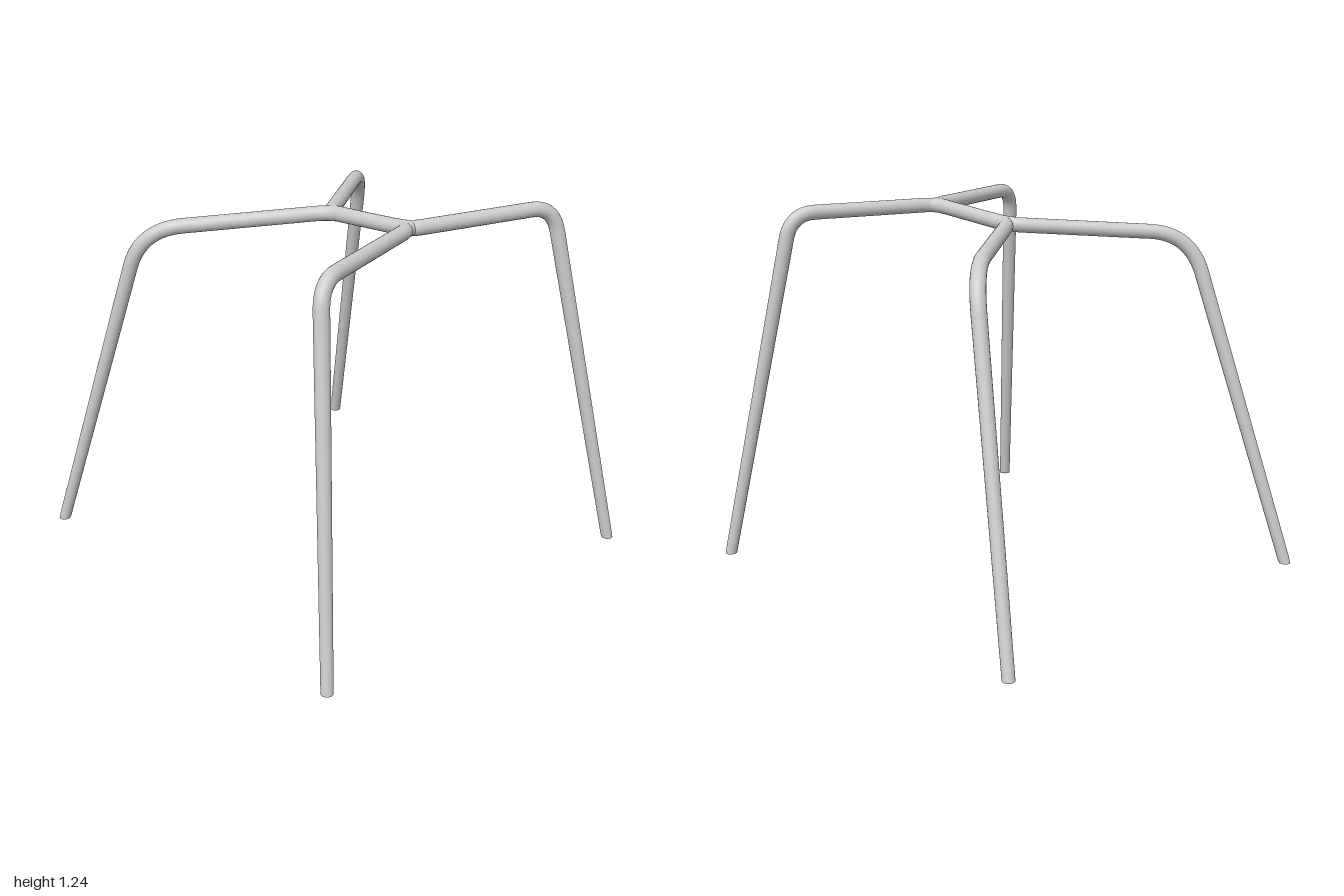
import * as THREE from 'three';

const TOP_R = 0.025, FOOT_R = 0.02, SIDES = 20;
const metal = new THREE.MeshStandardMaterial({ color: 0xcccccc, side: THREE.DoubleSide });

// Straight runs joined by rounded bends; bends[i] is the setback at inner corner i
function bentPath(points, bends) {
  const path = new THREE.CurvePath();
  let from = points[0];
  bends.forEach((d, i) => {
    const corner = points[i + 1];
    const toward = (p) => corner.clone().add(p.clone().sub(corner).setLength(d));
    const a = toward(points[i]), b = toward(points[i + 2]);
    path.add(new THREE.LineCurve3(from, a));
    path.add(new THREE.QuadraticBezierCurve3(a, corner, b));
    from = b;
  });
  path.add(new THREE.LineCurve3(from, points[points.length - 1]));
  return path;
}

// Bent tube that narrows toward the floor and is cut level at the foot
function makeLeg(name, points, bends) {
  const segments = 140;
  const path = bentPath(points, bends);
  const geo = new THREE.TubeGeometry(path, segments, TOP_R, SIDES, false);
  const pos = geo.attributes.position;
  const v = new THREE.Vector3();
  for (let i = 0; i <= segments; i++) {
    const centre = path.getPointAt(i / segments);
    const k = THREE.MathUtils.lerp(FOOT_R / TOP_R, 1, Math.min(1, centre.y / 1.1));
    for (let j = 0; j <= SIDES; j++) {
      const n = i * (SIDES + 1) + j;
      v.fromBufferAttribute(pos, n).sub(centre).multiplyScalar(k).add(centre);
      pos.setXYZ(n, v.x, i === segments ? 0 : Math.max(0, v.y), v.z);
    }
  }
  const leg = new THREE.Group();
  leg.name = name;
  const tube = new THREE.Mesh(geo, metal);
  tube.name = name + 'Tube';
  const cap = new THREE.Mesh(new THREE.CircleGeometry(FOOT_R, SIDES), metal);
  cap.name = name + 'FootCap';
  cap.rotation.x = Math.PI / 2;
  cap.position.copy(points[points.length - 1]);
  leg.add(tube, cap);
  return leg;
}

export function createModel() {
  const model = new THREE.Group();
  model.name = 'legFrame';

  // The frame is mirrored across the x = z diagonal
  const frontProfile = [[0.2, 1.21, 0.2], [0.25, 1.215, 0.245], [0.715, 1.215, -0.004], [0.977, 0, 0.023]];
  const backProfile = [[0.06, 1.192, 0.06], [-0.005, 1.183, -0.01], [-0.625, 1.142, 0.074], [-0.979, 0, -0.031]];
  const straight = ([x, y, z]) => new THREE.Vector3(x, y, z);
  const swapped = ([x, y, z]) => new THREE.Vector3(z, y, x);

  model.add(
    makeLeg('leftLeg', frontProfile.map(straight), [0.04, 0.085]),
    makeLeg('frontLeg', frontProfile.map(swapped), [0.04, 0.085]),
    makeLeg('rightLeg', backProfile.map(straight), [0.06, 0.14]),
    makeLeg('backLeg', backProfile.map(swapped), [0.06, 0.14])
  );

  // Diagonal bar joining the two pairs of legs
  const barPath = new THREE.LineCurve3(new THREE.Vector3(0, 1.184, 0), new THREE.Vector3(0.245, 1.215, 0.245));
  const bar = new THREE.Mesh(new THREE.TubeGeometry(barPath, 4, TOP_R, SIDES, false), metal);
  bar.name = 'centreBar';
  model.add(bar);

  // Rounded joints at both ends of the bar
  [barPath.v1, barPath.v2].forEach((p, i) => {
    const joint = new THREE.Mesh(new THREE.SphereGeometry(TOP_R, SIDES, 14), metal);
    joint.name = i ? 'frontJoint' : 'backJoint';
    joint.position.copy(p);
    model.add(joint);
  });
  return model;
}
